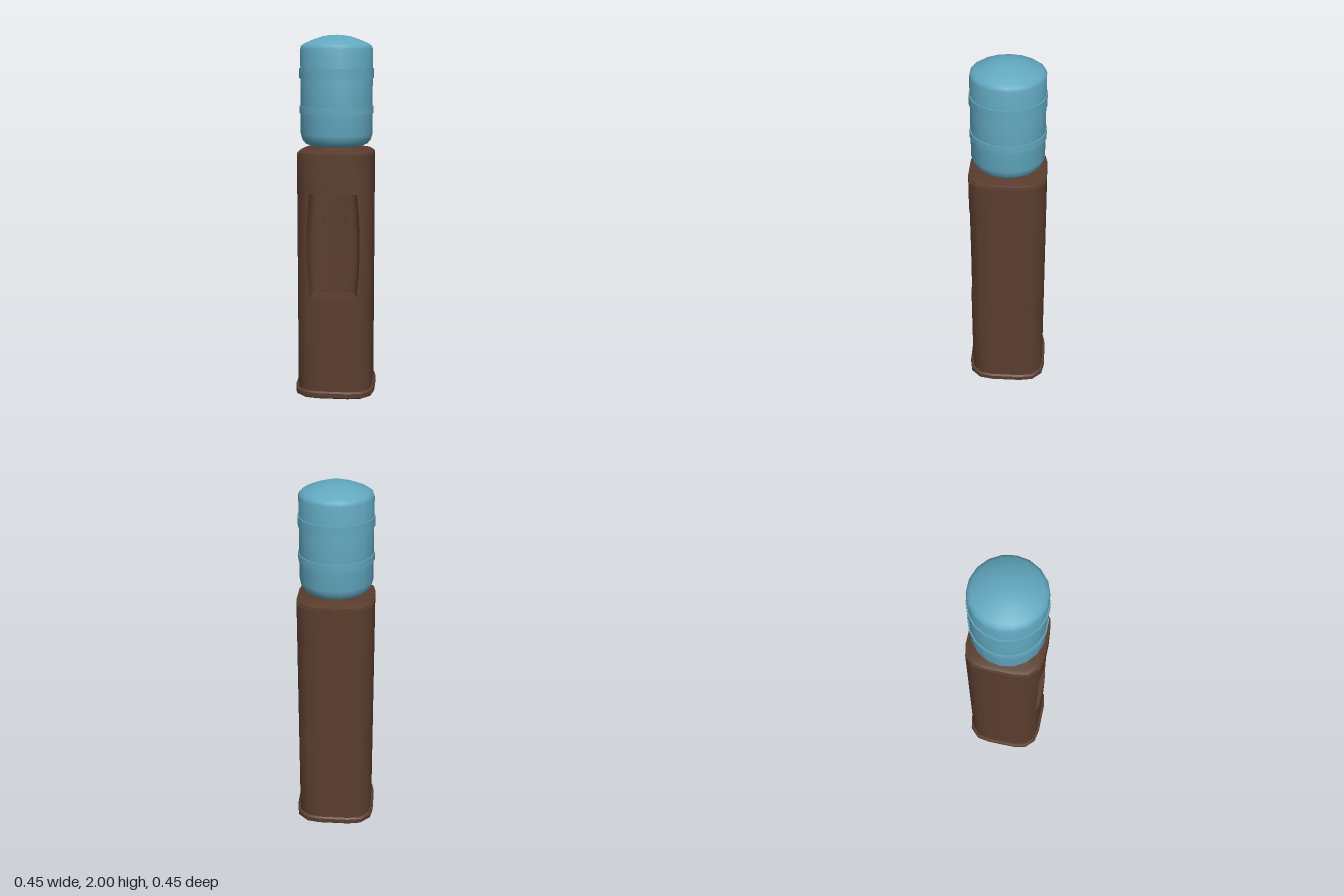
import * as THREE from 'three';
import { toCreasedNormals } from 'three/addons/utils/BufferGeometryUtils.js';

const H = 0.21;          // cabinet half width
const Y0 = 0.58, Y1 = 1.155; // alcove bottom and top

// rounded-square outline, from front right round the back to front left, as [x, z]
function outline(h) {
  const q = [[0.38, 1], [0.71, 0.94], [0.94, 0.71], [1, 0.38]].map(([x, z]) => [x * h, z * h]);
  const right = [...q, ...q.slice().reverse().map(([x, z]) => [x, -z])];
  return [...right, ...right.slice().reverse().map(([x, z]) => [-x, z])];
}

// joins rings of [x, z] points at given heights into a wall
function loft(rows) {
  const pos = [], idx = [], n = rows[0].pts.length;
  rows.forEach(({ y, pts }) => pts.forEach(([x, z]) => pos.push(x, y, z)));
  for (let r = 0; r < rows.length - 1; r++) {
    for (let i = 0; i < n; i++) {
      const a = r * n + i, b = r * n + (i + 1) % n;
      idx.push(a, b, b + n, a, b + n, a + n);
    }
  }
  const g = new THREE.BufferGeometry();
  g.setAttribute('position', new THREE.Float32BufferAttribute(pos, 3));
  g.setIndex(idx);
  return toCreasedNormals(g, 0.75);
}

// solid slab with the rounded-square outline, optionally bevelled at its edges
function slab(h, y0, y1, bevel = 0) {
  const shape = new THREE.Shape(outline(h - bevel).map(([x, z]) => new THREE.Vector2(x, -z)));
  const g = new THREE.ExtrudeGeometry(shape, {
    depth: y1 - y0 - 2 * bevel, bevelEnabled: bevel > 0,
    bevelSize: bevel, bevelThickness: bevel, bevelSegments: 1,
  });
  g.rotateX(-Math.PI / 2).translate(0, y0 + bevel, 0);
  return toCreasedNormals(g, 0.75);
}

export function createModel() {
  const model = new THREE.Group();
  const brown = new THREE.MeshStandardMaterial({ color: 0x5a3d2e });
  const blue = new THREE.MeshStandardMaterial({ color: 0x62a8c0 });
  const add = (name, geometry, material = brown, parent = model) => {
    const mesh = new THREE.Mesh(geometry, material);
    mesh.name = name;
    parent.add(mesh);
    return mesh;
  };

  // cabinet
  add('base', slab(0.224, 0, 0.04, 0.008));
  add('lowerCabinet', slab(H, 0.035, Y0));
  add('upperCabinet', slab(H, Y1, 1.365));

  // middle of the cabinet, with an alcove whose sides bow outwards
  const rows = [];
  for (let i = 0; i <= 12; i++) {
    const t = i / 12, w = 0.13 + 0.016 * Math.sin(Math.PI * t);
    const front = H - (w - 0.38 * H) * 0.06 / 0.33;
    const half = [[w - 0.05, 0.105], [w - 0.025, 0.112], [w - 0.01, 0.13], [w, front]];
    const mirrored = half.slice().reverse().map(([x, z]) => [-x, z]);
    rows.push({ y: Y0 + (Y1 - Y0) * t, pts: [...half, ...outline(H).slice(1, -1), ...mirrored] });
  }
  add('alcoveCabinet', loft(rows));

  // stepped lid and the seat of the bottle
  add('lid', loft([
    { y: 1.365, pts: outline(0.2) },
    { y: 1.372, pts: outline(0.2) },
    { y: 1.38, pts: outline(0.182) },
    { y: 1.381, pts: outline(0.001) },
  ]));
  add('bottleSeat', new THREE.CylinderGeometry(0.05, 0.125, 0.035, 18).translate(0, 1.3925, 0));

  // drip grille
  const grille = new THREE.Group();
  grille.name = 'dripGrille';
  model.add(grille);
  for (let i = 0; i < 7; i++) {
    add('slat', new THREE.BoxGeometry(0.21, 0.008, 0.006), brown, grille)
      .position.set(0, Y0 + 0.006, 0.122 + i * 0.012);
  }
  for (const s of [-1, 1]) {
    add('grilleSide', new THREE.BoxGeometry(0.006, 0.008, 0.08), brown, grille)
      .position.set(s * 0.106, Y0 + 0.006, 0.158);
  }

  // taps
  for (const s of [-1, 1]) {
    const tap = new THREE.Group();
    tap.name = s > 0 ? 'leftTap' : 'rightTap';
    tap.position.set(s * 0.06, 1.01, 0.105);
    model.add(tap);
    add('tapBody', new THREE.BoxGeometry(0.018, 0.014, 0.03), brown, tap).position.set(0, 0.01, 0.013);
    add('spout', new THREE.CylinderGeometry(0.007, 0.006, 0.032, 10), brown, tap).position.set(0, 0, 0.022);
  }

  // bottle with domed top and rounded bottom
  const lathe = (pts) => toCreasedNormals(
    new THREE.LatheGeometry(pts.map(([r, y]) => new THREE.Vector2(r, y)), 18).rotateY(Math.PI / 2), 0.75);
  add('bottle', lathe([
    [0, 1.402], [0.145, 1.402], [0.172, 1.412], [0.191, 1.434], [0.199, 1.465],
    [0.199, 1.925], [0.194, 1.941], [0.175, 1.955], [0.12, 1.978], [0.08, 1.991], [0.04, 1.998], [0, 2],
  ]), blue);
  for (const [y0, y1] of [[1.578, 1.617], [1.768, 1.822]]) {
    add('bottleBand', lathe([[0.197, y0], [0.205, y0], [0.205, y1], [0.197, y1]]), blue);
  }
  return model;
}
